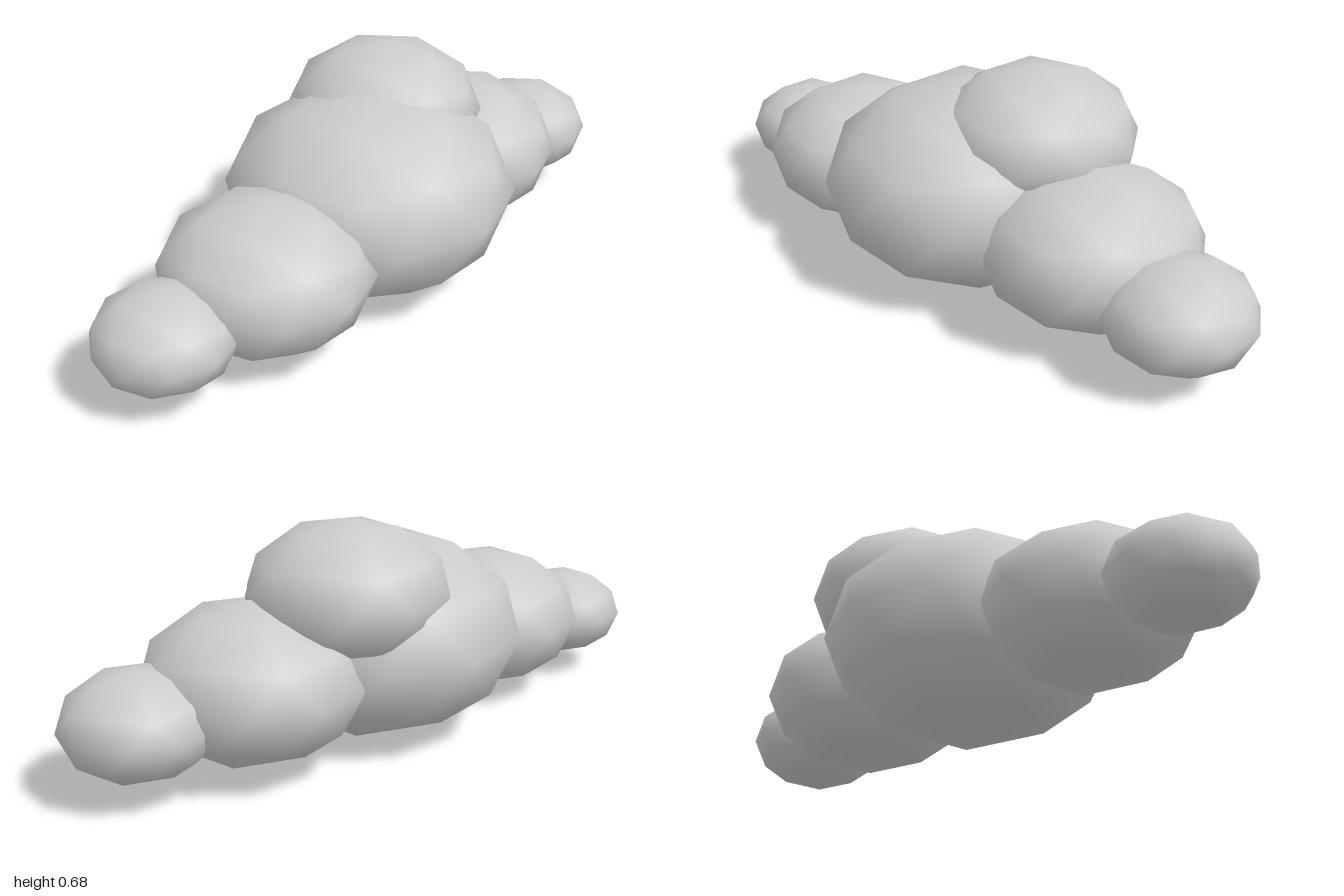
import * as THREE from 'three';

// Low-poly ball with a vertex at each pole and a ten-sided equator
function makePuffGeometry() {
  const golden = (1 + Math.sqrt(5)) / 2;
  const geometry = new THREE.IcosahedronGeometry(1, 1);
  geometry.rotateX(-Math.atan(golden)); // stand a corner on the pole
  geometry.rotateY(Math.PI / 2);        // upper ring points to +x
  return geometry;
}

export function createModel() {
  const cloud = new THREE.Group();
  cloud.name = 'cloud';

  const cloudGrey = new THREE.MeshStandardMaterial({ color: 0xcccccc });
  cloudGrey.name = 'cloudGrey';

  const geometry = makePuffGeometry();
  const flatten = 0.7; // every puff is squashed by the same amount

  // name, centre x, y, z, horizontal radius
  const puffs = [
    ['middlePuff', -0.005, 0.303, 0, 0.431],
    ['topPuff', 0.175, 0.473, -0.093, 0.294],
    ['leftPuff', 0.455, 0.258, -0.031, 0.323],
    ['leftEndPuff', 0.795, 0.21, 0, 0.215],
    ['rightPuff', -0.47, 0.243, 0.03, 0.307],
    ['rightEndPuff', -0.812, 0.197, 0, 0.198],
  ];

  for (const [name, x, y, z, radius] of puffs) {
    const puff = new THREE.Mesh(geometry, cloudGrey);
    puff.name = name;
    puff.position.set(x, y, z);
    puff.scale.set(radius, radius * flatten, radius);
    cloud.add(puff);
  }
  return cloud;
}
